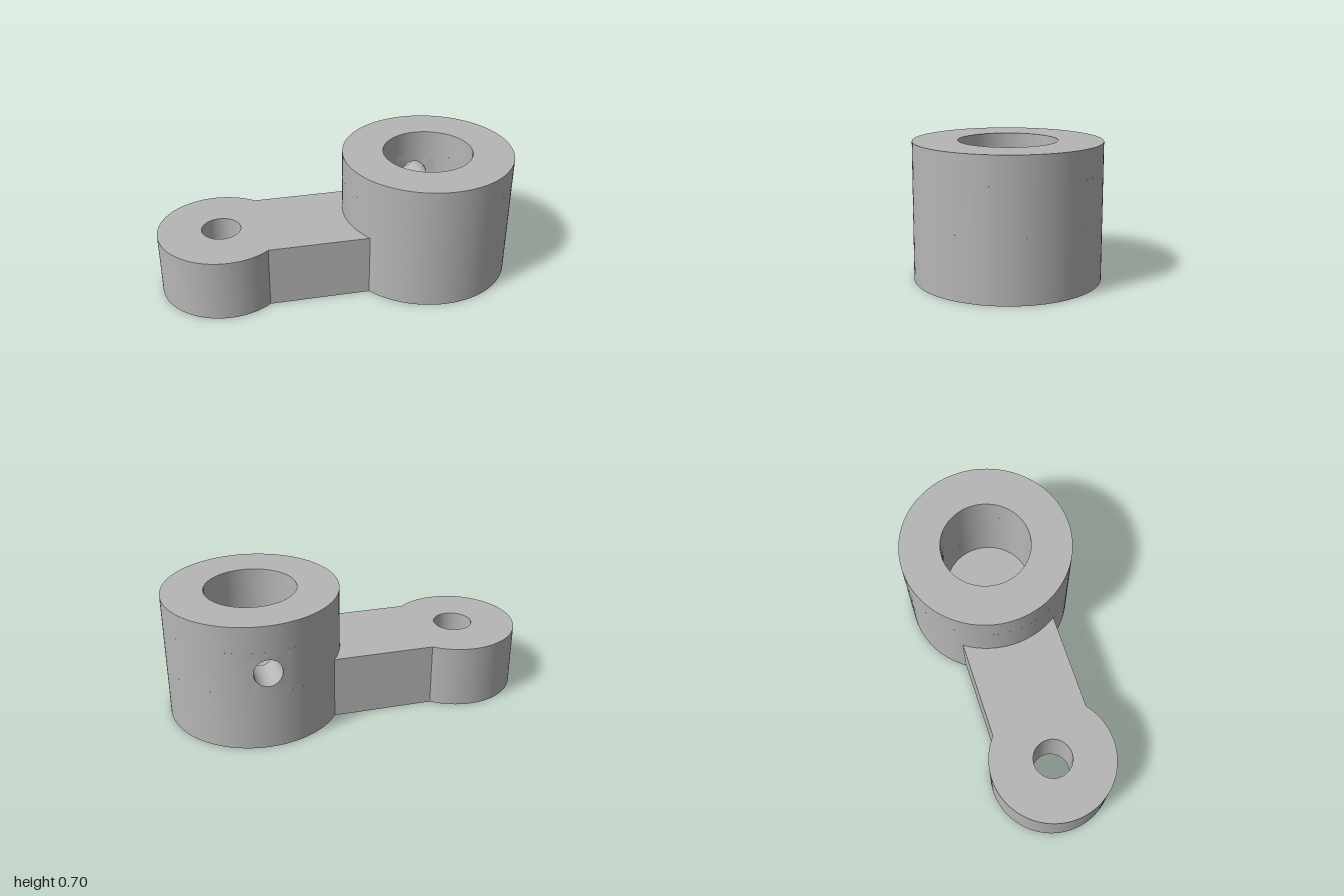
import * as THREE from 'three';
import { toCreasedNormals } from 'three/addons/utils/BufferGeometryUtils.js';

const BOSS = { x: 0.522, r: 0.477, bore: 0.25, floor: 0.176, top: 0.705 };
const PIN = { y: 0.44, r: 0.076, pad: 0.12 }; // cross hole and the square wall patch around it
const EYE = { x: -0.65, r: 0.35, hole: 0.108 };
const ARM = { half: 0.271, height: 0.352 };

// Surface between two closed loops of equal length
function loft(a, b) {
  const n = a.length, index = [];
  for (let i = 0; i < n; i++) {
    const j = (i + 1) % n;
    index.push(i, n + i, n + j, i, n + j, j);
  }
  const g = new THREE.BufferGeometry().setFromPoints([...a, ...b]);
  g.setIndex(index);
  g.computeVertexNormals();
  return g;
}

// Closed loop on the back of a cylinder wall: a circle, or a square of the same half width
function wallLoop(radius, size, square) {
  const points = [];
  for (let i = 0; i < 48; i++) {
    const t = (i / 48) * Math.PI * 2, c = Math.cos(t), s = Math.sin(t);
    const d = square ? size / Math.max(Math.abs(c), Math.abs(s)) : size;
    const u = d * c;
    points.push(new THREE.Vector3(-u, PIN.y + d * s, -Math.sqrt(radius * radius - u * u)));
  }
  return points;
}

export function createModel() {
  const model = new THREE.Group();
  const grey = new THREE.MeshStandardMaterial({ color: 0xb6b6b6 });
  grey.name = 'plain grey';

  const add = (parent, name, geometry) => {
    const mesh = new THREE.Mesh(geometry, grey);
    mesh.name = name;
    parent.add(mesh);
  };

  // Flat lever: round eye with a hole, straight arm ending on the boss wall
  const eyeAngle = Math.PI - Math.acos(-Math.sqrt(EYE.r ** 2 - ARM.half ** 2) / EYE.r);
  const bossAngle = Math.asin(ARM.half / BOSS.r);
  const outline = new THREE.Shape();
  const start = Math.PI - eyeAngle === 0 ? 0 : Math.asin(ARM.half / EYE.r);
  outline.absarc(EYE.x, 0, EYE.r, start, Math.PI * 2 - start, false);
  outline.absarc(BOSS.x, 0, BOSS.r, Math.PI + bossAngle, Math.PI - bossAngle, true);
  outline.closePath();
  outline.holes.push(new THREE.Path().absarc(EYE.x, 0, EYE.hole, 0, Math.PI * 2, true));
  const lever = new THREE.ExtrudeGeometry(outline, {
    depth: ARM.height, bevelEnabled: false, curveSegments: 64,
  });
  lever.rotateX(-Math.PI / 2);
  add(model, 'leverArm', toCreasedNormals(lever, 0.5));

  // Round boss with a blind bore
  const boss = new THREE.Group();
  boss.name = 'boss';
  boss.position.x = BOSS.x;
  model.add(boss);

  const ring = (name, r0, y0, r1, y1, gap = 0) =>
    add(boss, name, new THREE.LatheGeometry(
      [new THREE.Vector2(r0, y0), new THREE.Vector2(r1, y1)],
      96, Math.PI + gap, Math.PI * 2 - 2 * gap));

  const { r, bore, floor, top } = BOSS;
  const low = PIN.y - PIN.pad, high = PIN.y + PIN.pad;
  ring('bossBottom', 0, 0, r, 0);
  ring('bossTop', r, top, bore, top);
  ring('boreFloor', bore, floor, 0, floor);

  // Walls in three bands, the middle one open at the back for the cross hole
  const outerGap = Math.asin(PIN.pad / r), boreGap = Math.asin(PIN.pad / bore);
  ring('outerWallLow', r, 0, r, low);
  ring('outerWallMiddle', r, low, r, high, outerGap);
  ring('outerWallHigh', r, high, r, top);
  ring('boreWallHigh', bore, top, bore, high);
  ring('boreWallMiddle', bore, high, bore, low, boreGap);
  ring('boreWallLow', bore, low, bore, floor);

  // Cross hole through the back wall
  const outerHole = wallLoop(r, PIN.r, false), boreHole = wallLoop(bore, PIN.r, false);
  add(boss, 'outerHoleSurround', loft(outerHole, wallLoop(r, PIN.pad, true)));
  add(boss, 'boreHoleSurround', loft(wallLoop(bore, PIN.pad, true), boreHole));
  add(boss, 'crossHole', loft(boreHole, outerHole));

  return model;
}
